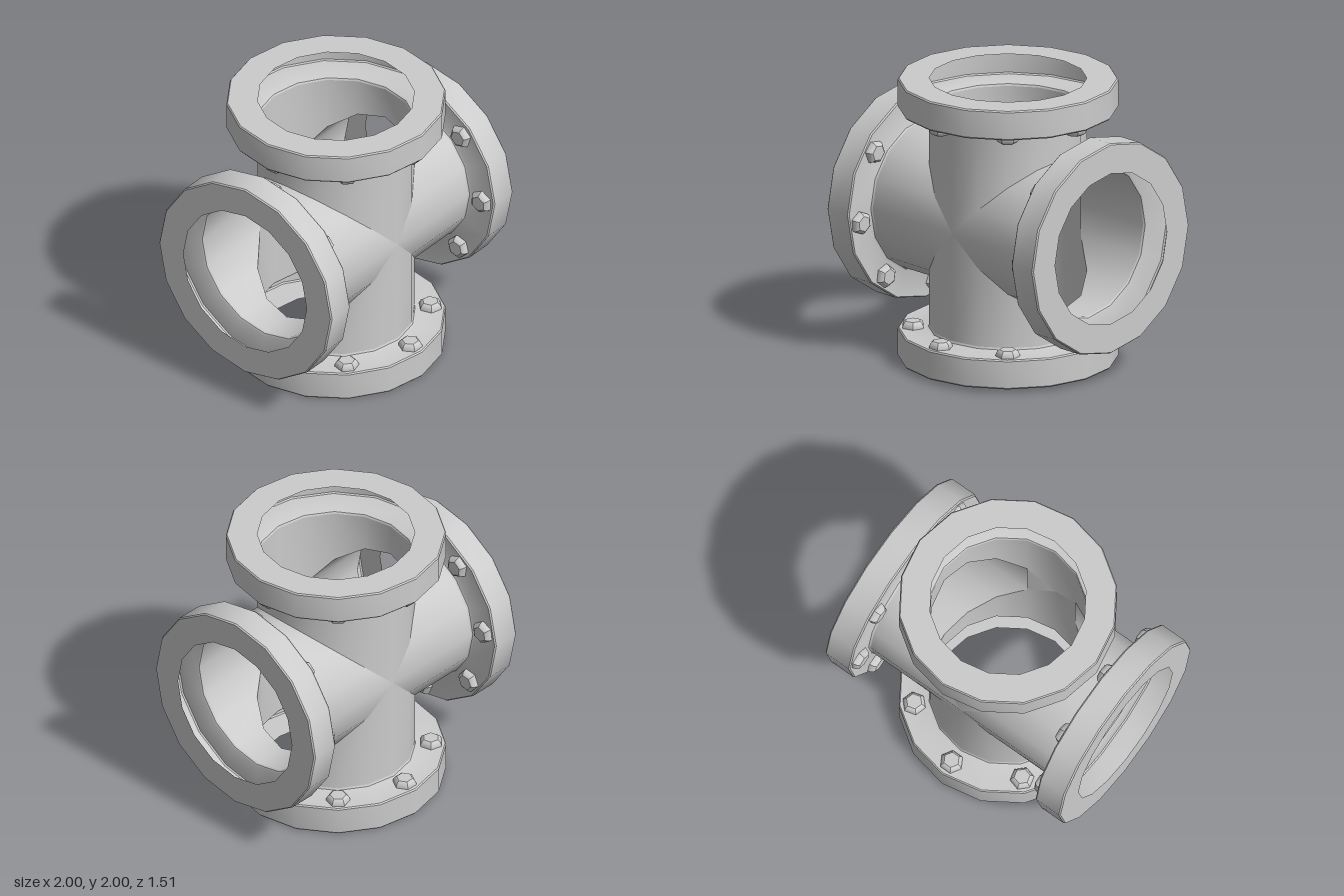
import * as THREE from 'three';
import { toCreasedNormals } from 'three/addons/utils/BufferGeometryUtils.js';

const SIDES = 16, R = 0.54, PLATE = 0.79, BOLT_RING = 0.65;
const material = new THREE.MeshStandardMaterial({ color: 0xcccccc, side: THREE.DoubleSide });

function part(name, geometry) {
  const mesh = new THREE.Mesh(geometry, material);
  mesh.name = name;
  return mesh;
}

function lathe(points, sides) {
  const profile = points.map(([r, y]) => new THREE.Vector2(r, y));
  return toCreasedNormals(new THREE.LatheGeometry(profile, sides), 0.6);
}

// Open pipe whose lower end is mitred along y = |x|
function pipeGeometry() {
  const top = PLATE - 0.02;
  const g = new THREE.CylinderGeometry(R, R, top, SIDES, 1, true).translate(0, top / 2, 0);
  const p = g.attributes.position;
  for (let i = 0; i < p.count; i++) {
    if (p.getY(i) < top / 2) p.setY(i, Math.abs(p.getX(i)));
  }
  return toCreasedNormals(g, 0.6);
}

// Hollow flange: small fillet, back plate, bevelled rim, open front ring
const flangeProfile = [
  [R, PLATE - 0.02], [R + 0.006, PLATE - 0.006], [R + 0.02, PLATE],
  [0.747, PLATE], [0.755, PLATE + 0.01], [0.755, 0.99], [0.747, 1], [R, 1],
];

// Tapered hexagonal bolt head pointing towards -y
const boltProfile = [[0, -0.047], [0.056, -0.047], [0.072, -0.036], [0.083, -0.012], [0.083, 0]];

export function createModel() {
  const model = new THREE.Group();
  model.name = 'pipeCross';
  const pipe = pipeGeometry();
  const flange = lathe(flangeProfile, SIDES);
  const bolt = lathe(boltProfile, 6);

  // Four arms, each built along its own +y axis
  const arms = [
    ['topArm', 0, 0],
    ['leftArm', -Math.PI / 2, 0.02],
    ['bottomArm', Math.PI, 0],
    ['rightArm', Math.PI / 2, -0.115],
  ];
  for (const [name, turn, boltTurn] of arms) {
    const arm = new THREE.Group();
    arm.name = name;
    arm.add(part('pipe', pipe), part('flange', flange));
    for (let i = 0; i < 8; i++) {
      const a = boltTurn + i * Math.PI / 4;
      const head = part('bolt', bolt);
      head.position.set(BOLT_RING * Math.sin(a), PLATE, BOLT_RING * Math.cos(a));
      head.rotation.y = a + Math.PI / 2;
      arm.add(head);
    }
    arm.rotation.z = turn;
    arm.position.y = 1;
    model.add(arm);
  }

  // Small triangular panels inside the crossing, front and back
  const s = R * Math.sin(Math.PI / 8), c = R * Math.cos(Math.PI / 8);
  for (const x of [-1, 1]) {
    for (const z of [-1, 1]) {
      const k = x * z;
      const g = new THREE.BufferGeometry();
      g.setAttribute('position', new THREE.Float32BufferAttribute(
        [0, 1, z * R, x * s, 1 - k * s, z * c, x * s, 1 + k * s, z * c], 3));
      g.computeVertexNormals();
      model.add(part('crossingPanel', g));
    }
  }
  return model;
}
